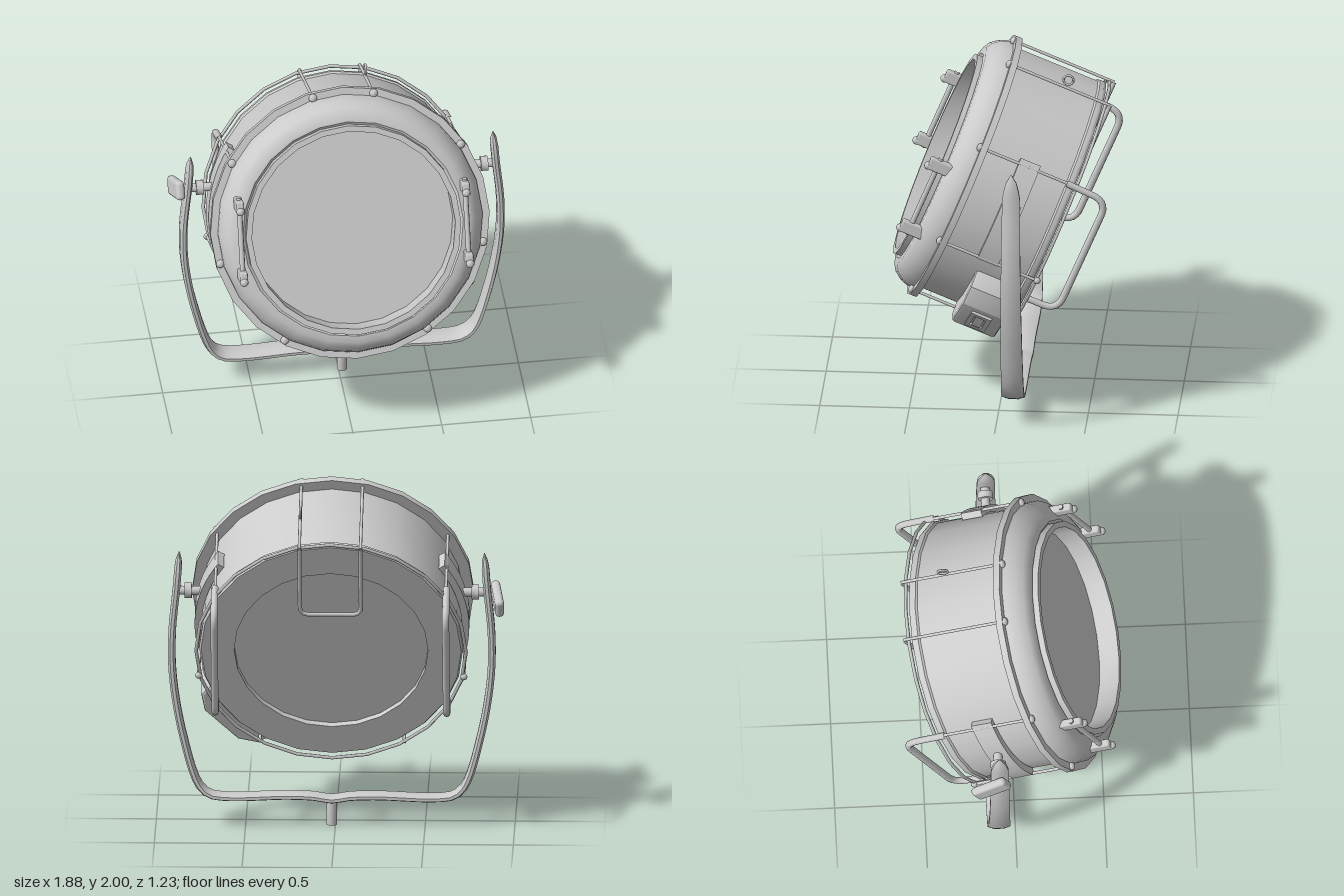
import * as THREE from 'three';
import { toCreasedNormals } from 'three/addons/utils/BufferGeometryUtils.js';
import { RoundedBoxGeometry } from 'three/addons/geometries/RoundedBoxGeometry.js';

const grey = new THREE.MeshStandardMaterial({ color: 0xcccccc });
const V = (x, y, z) => new THREE.Vector3(x, y, z);

function add(parent, name, geometry, x = 0, y = 0, z = 0) {
  const mesh = new THREE.Mesh(geometry, grey);
  mesh.name = name;
  mesh.position.set(x, y, z);
  parent.add(mesh);
  return mesh;
}

// Solid of revolution about z; pairs are [radius, z], from back to front
function turned(pairs, segments = 24) {
  const g = new THREE.LatheGeometry(pairs.map(p => new THREE.Vector2(...p)), segments);
  return toCreasedNormals(g.rotateX(Math.PI / 2), 0.6);
}

// Round bar through points, with cornering softened by short bevels
function bar(points, radius, bevel = 0.04) {
  const path = new THREE.CurvePath();
  let last = points[0];
  for (let i = 1; i < points.length - 1; i++) {
    const p = points[i];
    const a = p.clone().add(points[i - 1].clone().sub(p).setLength(bevel));
    const b = p.clone().add(points[i + 1].clone().sub(p).setLength(bevel));
    path.add(new THREE.LineCurve3(last, a));
    path.add(new THREE.QuadraticBezierCurve3(a, p, b));
    last = b;
  }
  path.add(new THREE.LineCurve3(last, points[points.length - 1]));
  return new THREE.TubeGeometry(path, points.length > 2 ? 48 : 1, radius, 8);
}

// Flat-oval strip swept along a curve in the xy plane; width varies with height
function yokeGeometry() {
  const half = [[0.85, 1.575], [0.855, 1.5], [0.865, 1.37], [0.89, 1.1], [0.885, 0.85], [0.83, 0.52],
    [0.74, 0.23], [0.68, 0.175], [0.57, 0.16], [0.25, 0.17], [0.1, 0.165]];
  const points = [...half.map(([x, y]) => V(-x, y, 0)), V(0, 0.15, 0),
    ...half.slice().reverse().map(([x, y]) => V(x, y, 0))];
  const curve = new THREE.CatmullRomCurve3(points);
  const rings = 90, sides = 8, pos = [], index = [];
  for (let i = 0; i <= rings; i++) {
    const c = curve.getPointAt(i / rings), t = curve.getTangentAt(i / rings);
    const tip = Math.sqrt(Math.max(0.002, Math.min(1, (1.575 - c.y) / 0.13)));
    const width = tip * THREE.MathUtils.mapLinear(c.y, 0.15, 1.57, 0.064, 0.048);
    const thick = 0.021 * Math.min(1, tip * 1.3);
    for (let j = 0; j < sides; j++) {
      const a = (j + 0.5) / sides * Math.PI * 2;
      const n = Math.cos(a) * thick * 1.08;
      pos.push(c.x - t.y * n, c.y + t.x * n, Math.sin(a) * width * 1.08);
      if (i < rings) {
        const k = i * sides + j, m = i * sides + (j + 1) % sides;
        index.push(k, m, k + sides, m, m + sides, k + sides);
      }
    }
  }
  const g = new THREE.BufferGeometry();
  g.setAttribute('position', new THREE.Float32BufferAttribute(pos, 3));
  g.setIndex(index);
  return toCreasedNormals(g, 0.9);
}

// Curved strap hugging the drum between two angles
function strapGeometry(from, to) {
  const s = new THREE.Shape();
  s.absarc(0, 0, 0.765, from, to, false);
  s.absarc(0, 0, 0.725, to, from, true);
  return toCreasedNormals(new THREE.ExtrudeGeometry(s, { depth: 0.12, bevelEnabled: false, curveSegments: 8 }), 0.6);
}

// Tapered housing with a switch, built pointing along +x from the lamp axis
function switchBox() {
  const box = new THREE.Group();
  box.name = 'switchBox';
  const s = new THREE.Shape([[0.68, -0.23], [0.77, -0.22], [0.83, -0.13], [0.83, 0.13], [0.77, 0.22], [0.68, 0.23]]
    .map(p => new THREE.Vector2(...p)));
  add(box, 'switchHousing', toCreasedNormals(new THREE.ExtrudeGeometry(s, {
    depth: 0.22, bevelThickness: 0.02, bevelSize: 0.015, bevelSegments: 2 }), 0.5), 0, 0, -0.48);
  const frame = new THREE.Shape([[-0.06, -0.09], [0.06, -0.09], [0.06, 0.09], [-0.06, 0.09]]
    .map(p => new THREE.Vector2(...p)));
  frame.holes.push(new THREE.Path([[-0.035, -0.06], [-0.035, 0.06], [0.035, 0.06], [0.035, -0.06]]
    .map(p => new THREE.Vector2(...p))));
  const rim = add(box, 'switchFrame', new THREE.ExtrudeGeometry(frame, { depth: 0.02, bevelEnabled: false }), 0.84, 0, -0.37);
  rim.rotation.y = Math.PI / 2;
  add(box, 'switchRocker', new THREE.BoxGeometry(0.03, 0.09, 0.05), 0.845, 0, -0.37).rotation.z = 0.15;
  box.rotation.z = -0.75;
  return box;
}

export function createModel() {
  const model = new THREE.Group();
  model.name = 'studioLamp';

  // Lamp head: local z is the beam axis
  const head = new THREE.Group();
  head.name = 'lampHead';
  head.position.set(0.02, 1.27, 0.225);
  head.rotation.x = -0.393;
  model.add(head);

  add(head, 'drum', turned([[0, -0.515], [0.54, -0.515], [0.54, -0.55], [0.725, -0.55], [0.735, -0.535],
    [0.735, -0.51], [0.725, -0.5], [0.725, 0]]));
  add(head, 'flange', turned([[0.7, -0.02], [0.785, -0.02], [0.785, 0.018], [0.7, 0.018]]));
  add(head, 'bezel', turned([[0.745, 0], [0.743, 0.04], [0.725, 0.085], [0.695, 0.125], [0.66, 0.147], [0.62, 0.15], [0.6, 0.135]]));
  add(head, 'lensRim', turned([[0.605, 0.05], [0.605, 0.178], [0.572, 0.178], [0.572, 0.05]]));
  add(head, 'lens', new THREE.CircleGeometry(0.58, 24), 0, 0, 0.06);
  add(head, 'rearRing', new THREE.TorusGeometry(0.752, 0.01, 6, 24), 0, 0, -0.56);

  for (const side of [-1, 1]) {
    // Tie rods with bolts on the flange
    for (const degrees of [77, 32, -13, -58]) {
      const a = THREE.MathUtils.degToRad(degrees);
      const x = side * Math.cos(a) * 0.758, y = Math.sin(a) * 0.758;
      const rearEnd = degrees === 77 ? -0.585 : -0.575;
      add(head, 'tieRod', bar([V(x, y, 0.03), V(x, y, rearEnd)], 0.009));
      add(head, 'bolt', new THREE.SphereGeometry(0.024, 8, 6), x, y, 0.025).scale.z = 0.7;
      if (degrees === -13) add(head, 'rodNut', new THREE.SphereGeometry(0.02, 8, 6), x, y, -0.565);
    }

    // Rear side handles
    const hx = side * 0.645;
    add(head, 'rearHandle', bar([V(hx, 0.4, -0.5), V(hx, 0.39, -0.75), V(hx, -0.33, -0.745), V(hx, -0.33, -0.58)], 0.02, 0.09));
    add(head, 'handleEnd', new THREE.SphereGeometry(0.02, 8, 6), hx, -0.33, -0.58);

    // Front clips holding a retaining bar
    const cx = side * 0.635;
    add(head, 'clipBar', bar([V(cx, 0.25, 0.195), V(cx, -0.25, 0.195)], 0.015));
    for (const y of [0.2, -0.21]) {
      add(head, 'clip', new RoundedBoxGeometry(0.045, 0.075, 0.14, 1, 0.012), cx, y, 0.18);
      add(head, 'clipKnob', new THREE.SphereGeometry(0.024, 8, 6), cx, y - 0.02, 0.245);
    }

    // Straps carrying the pivots
    const strap = side > 0 ? strapGeometry(-0.24, 0.6) : strapGeometry(Math.PI - 0.6, Math.PI + 0.24);
    add(head, 'pivotStrap', strap, 0, 0, -0.33);

    // Pivot bolts between head and yoke
    const shaft = new THREE.CylinderGeometry(0.025, 0.025, 0.17, 10).rotateZ(Math.PI / 2);
    add(model, 'pivotShaft', shaft, 0.02 + side * 0.79, 1.35, -0.1);
    const collar = new THREE.CylinderGeometry(0.043, 0.043, 0.04, 10).rotateZ(Math.PI / 2);
    add(model, 'pivotCollar', toCreasedNormals(collar, 0.7), 0.02 + side * 0.8, 1.35, -0.1);
  }

  // Rear hanging bail continuing from the two top rods
  add(head, 'rearBail', bar([V(0.17, 0.74, -0.585), V(0.17, 0.28, -0.585), V(-0.17, 0.28, -0.585), V(-0.17, 0.74, -0.585)], 0.012, 0.05));

  // Small eyelet on a top rod
  add(head, 'eyelet', new THREE.TorusGeometry(0.028, 0.007, 6, 12), 0.17, 0.785, -0.315).rotation.y = Math.PI / 2;
  head.add(switchBox());

  // Yoke, mounting post and tilt lock
  add(model, 'yoke', yokeGeometry(), 0.02, 0, -0.095);
  add(model, 'mountingPost', toCreasedNormals(new THREE.CylinderGeometry(0.029, 0.029, 0.15, 12), 0.7), 0.02, 0.075, -0.09);
  const lever = add(model, 'tiltLever', new RoundedBoxGeometry(0.05, 0.11, 0.21, 2, 0.022), -0.905, 1.325, -0.145);
  lever.rotation.set(-0.45, 0.15, 0);

  return model;
}
